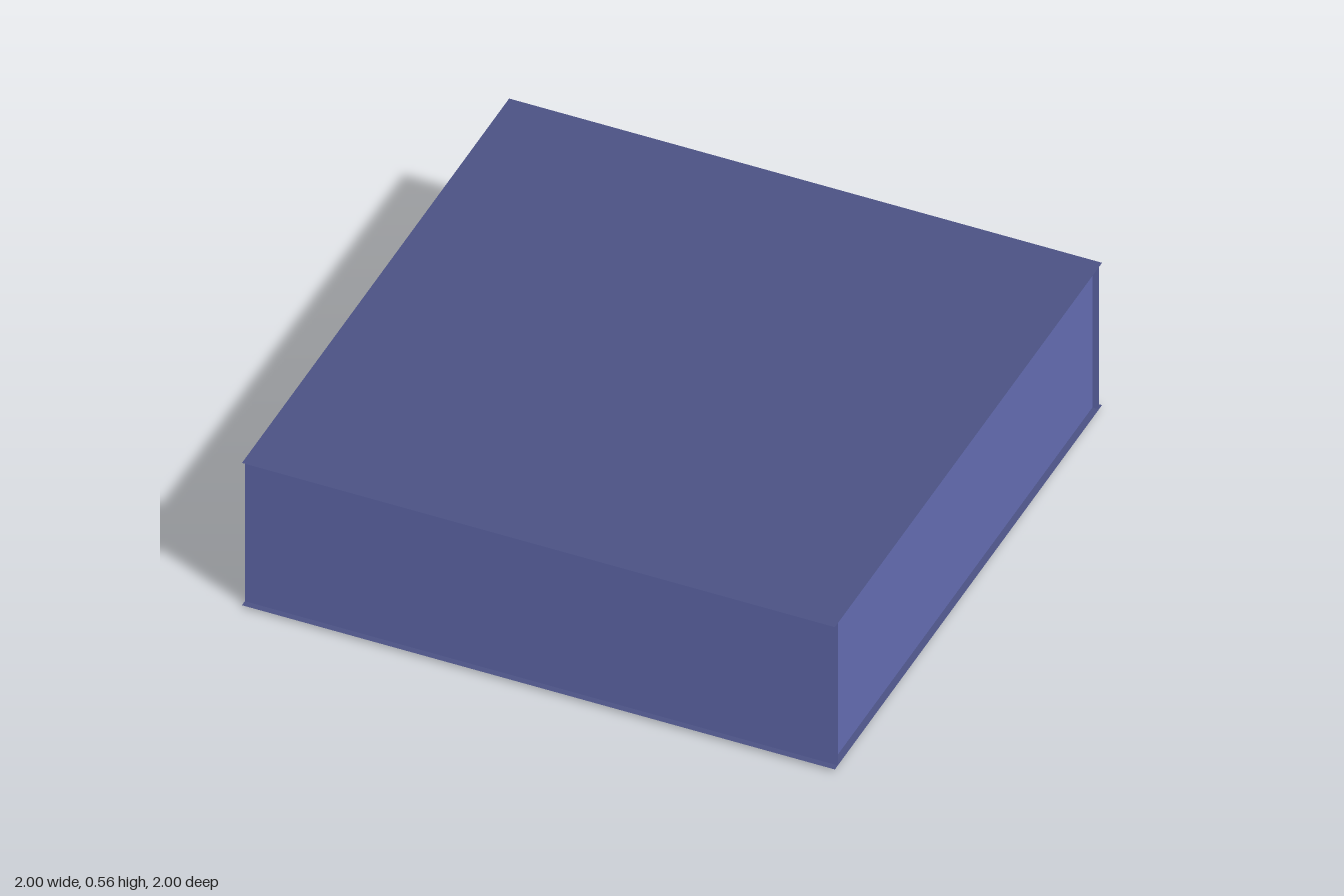
import * as THREE from 'three';

const wallBlue = new THREE.MeshStandardMaterial({ color: 0x646db3, side: THREE.DoubleSide });
wallBlue.name = 'wallBlue';
const slabBlue = new THREE.MeshStandardMaterial({ color: 0x4c5385, side: THREE.DoubleSide });
slabBlue.name = 'slabBlue';
const curtainBlack = new THREE.MeshStandardMaterial({ color: 0x0a0a0a });
curtainBlack.name = 'curtainBlack';

const FLOOR = 0.01, ROOF = 0.558, MIN = -0.978, MAX = 0.998;
const WALL_MIN = -0.955, WALL_MAX = 0.976;
const HEIGHT = ROOF - FLOOR, MID_Y = (ROOF + FLOOR) / 2;

function add(parent, name, geometry, material, x, y, z) {
  const mesh = new THREE.Mesh(geometry, material);
  mesh.name = name;
  mesh.position.set(x, y, z);
  parent.add(mesh);
  return mesh;
}

// Sheet wall from a to b along one axis, turned by angle
function addWall(parent, name, a, b, x, z, angle) {
  add(parent, name, new THREE.PlaneGeometry(b - a, HEIGHT), wallBlue, x, MID_Y, z).rotation.y = angle;
}

// Doorway on the outer side of a wall, built facing -z and centred on x = 0
function makeDoorway(name, postGap) {
  const door = new THREE.Group();
  door.name = name;
  // Full-height posts
  const depth = WALL_MIN - MIN;
  for (const side of [-1, 1]) {
    add(door, 'doorPost', new THREE.BoxGeometry(0.016, HEIGHT, depth), wallBlue,
      side * postGap / 2, MID_Y, MIN + depth / 2);
  }
  // Hanging curtain of narrow overlapping strips
  const count = 6, width = 0.19 / count;
  for (let i = 0; i < count; i++) {
    add(door, 'curtainStrip', new THREE.BoxGeometry(width, 0.36, 0.012), curtainBlack,
      (i - (count - 1) / 2) * width, 0.18, i % 2 ? -0.994 : -0.988);
  }
  return door;
}

export function createModel() {
  const model = new THREE.Group();
  model.name = 'flatRoofedHouse';

  // Roof and floor sheets, slightly wider than the walls
  const centre = (MIN + MAX) / 2;
  const slab = new THREE.PlaneGeometry(MAX - MIN, MAX - MIN);
  add(model, 'roof', slab, slabBlue, centre, ROOF, centre).rotation.x = -Math.PI / 2;
  add(model, 'floor', slab, slabBlue, centre, FLOOR, centre).rotation.x = Math.PI / 2;

  // Walls: front and back run the full width, the sides fit between them
  const sideMid = (WALL_MIN + WALL_MAX) / 2;
  addWall(model, 'frontWall', MIN, MAX, centre, WALL_MAX, 0);
  addWall(model, 'backWall', MIN, MAX, centre, WALL_MIN, Math.PI);
  addWall(model, 'leftWall', WALL_MIN, WALL_MAX, WALL_MAX, sideMid, Math.PI / 2);
  addWall(model, 'rightWall', WALL_MIN, WALL_MAX, WALL_MIN, sideMid, -Math.PI / 2);

  // Curtained doorways in the back and right walls
  const back = makeDoorway('backDoorway', 0.112);
  back.position.x = 0.421;
  const right = makeDoorway('rightDoorway', 0.13);
  right.rotation.y = Math.PI / 2;
  right.position.z = 0.013;
  model.add(back, right);

  return model;
}
